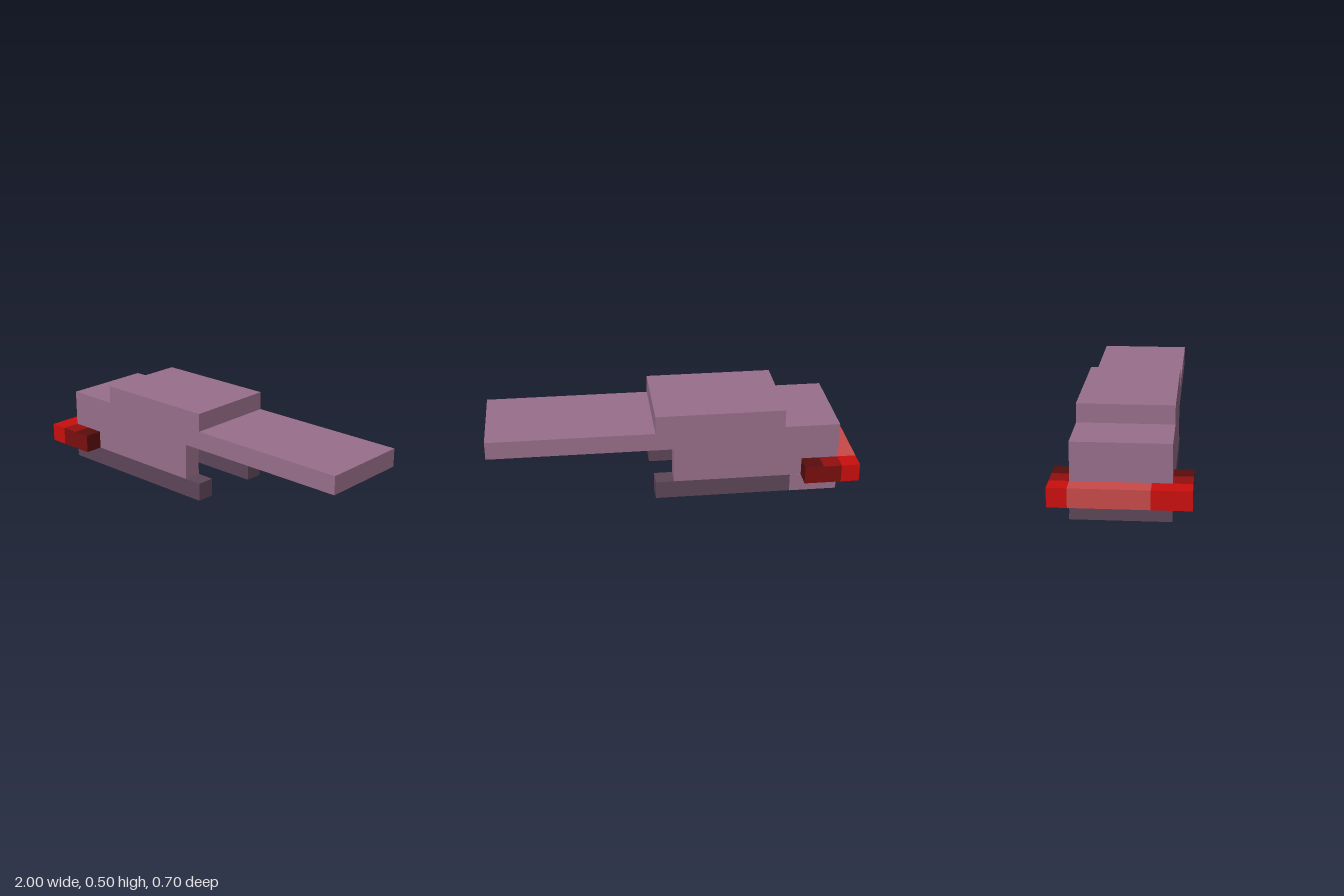
import * as THREE from 'three';

const paint = (name, color) => {
  const m = new THREE.MeshStandardMaterial({ color });
  m.name = name;
  return m;
};

export function createModel() {
  const mauve = paint('mauve', 0x986f8b);
  const darkMauve = paint('darkMauve', 0x5d4658);
  const brightRed = paint('brightRed', 0xcb0e0e);
  const midRed = paint('midRed', 0x930e0e);
  const sideRed = paint('sideRed', 0x7a0e0e);
  const darkRed = paint('darkRed', 0x5a0d0d);
  const salmon = paint('salmon', 0xc94a4a);

  const model = new THREE.Group();
  model.name = 'model';

  const add = (name, geometry, material) => {
    const mesh = new THREE.Mesh(geometry, material);
    mesh.name = name;
    model.add(mesh);
    return mesh;
  };

  // Box given by its two extreme corners
  const block = (name, material, [x0, y0, z0], [x1, y1, z1]) => {
    const geometry = new THREE.BoxGeometry(x1 - x0, y1 - y0, z1 - z0);
    geometry.translate((x0 + x1) / 2, (y0 + y1) / 2, (z0 + z1) / 2);
    return add(name, geometry, material);
  };

  // U-shaped wall, open towards +x, 0.1 thick
  const channel = (name, material, xEnd, y0, y1) => {
    const outline = [
      [-0.9, -0.25], [xEnd, -0.25], [xEnd, -0.15], [-0.8, -0.15],
      [-0.8, 0.15], [xEnd, 0.15], [xEnd, 0.25], [-0.9, 0.25],
    ].map(([x, z]) => new THREE.Vector2(x, z));
    const geometry = new THREE.ExtrudeGeometry(new THREE.Shape(outline), {
      depth: y1 - y0, bevelEnabled: false,
    });
    geometry.rotateX(-Math.PI / 2).translate(0, y0, 0);
    return add(name, geometry, material);
  };

  // Hollow body, its base rails, roof with long front plate, and raised cap
  channel('baseRails', darkMauve, 0.1, 0, 0.1);
  channel('bodyWalls', mauve, 0, 0.1, 0.3);
  block('roofPlate', mauve, [-0.9, 0.3, -0.25], [1, 0.4, 0.25]);
  block('raisedCap', mauve, [-0.6, 0.4, -0.25], [0.1, 0.5, 0.25]);

  // Painted patch on the back rail
  block('railPatch', mauve, [-0.9, 0, -0.252], [-0.64, 0.1, -0.25]);

  // Dark rounded mark under the front plate
  const mark = new THREE.Shape();
  mark.moveTo(-0.1, -0.12);
  mark.lineTo(0.11, -0.12);
  mark.absarc(0.11, -0.05, 0.07, -Math.PI / 2, Math.PI / 2, false);
  mark.lineTo(-0.1, 0.02);
  const markGeometry = new THREE.ExtrudeGeometry(mark, { depth: 0.003, bevelEnabled: false });
  markGeometry.rotateX(-Math.PI / 2).translate(0, 0.297, 0);
  add('undersideMark', markGeometry, darkMauve);

  // Rear bar: salmon middle with bright ends
  block('rearBar', salmon, [-1, 0.1, -0.25], [-0.9, 0.2, 0.15]);
  block('rearBarEnd', brightRed, [-1, 0.1, 0.15], [-0.9, 0.2, 0.35]);
  block('rearBarEnd', brightRed, [-1, 0.1, -0.35], [-0.9, 0.2, -0.25]);

  // Side arms fade from bright to dark; material order is +x -x +y -y +z -z
  for (const z of [-0.35, 0.25]) {
    const faces = (m) => [m, m, m, m, sideRed, sideRed];
    block('armMiddle', faces(midRed), [-0.9, 0.1, z], [-0.8, 0.2, z + 0.1]);
    block('armTip', faces(darkRed), [-0.8, 0.1, z], [-0.7, 0.2, z + 0.1]);
  }

  return model;
}
